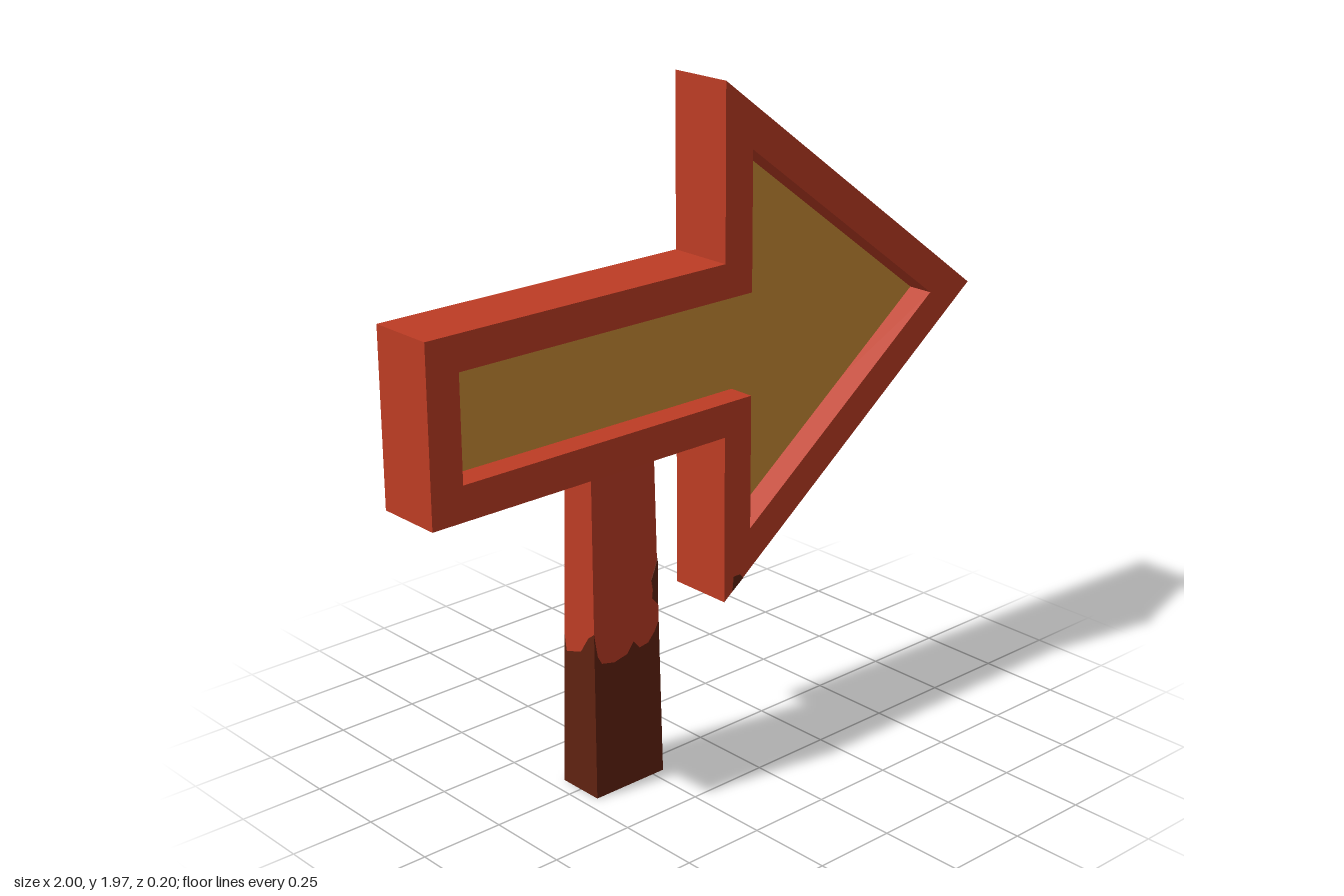
import * as THREE from 'three';

const red = new THREE.MeshStandardMaterial({ name: 'red paint', color: 0xbd3c24 });
const yellow = new THREE.MeshStandardMaterial({ name: 'yellow panel', color: 0xca8b35 });
const brown = new THREE.MeshStandardMaterial({ name: 'dark wood', color: 0x602210 });

const POST_X = -0.335;
const POST_TOP = 1.0;

// Arrow outline: tail x, head x, tip x, shaft half height, head half height
function arrowPoints(tail, head, tip, shaft, wide) {
  const y = 1.22;
  return [
    [tail, y - shaft], [head, y - shaft], [head, y - wide], [tip, y],
    [head, y + wide], [head, y + shaft], [tail, y + shaft],
  ].map(([px, py]) => new THREE.Vector2(px, py));
}

function addSlab(group, name, shape, z0, z1, material) {
  const geometry = new THREE.ExtrudeGeometry(shape, { depth: z1 - z0, bevelEnabled: false });
  geometry.translate(0, 0, z0);
  const mesh = new THREE.Mesh(geometry, material);
  mesh.name = name;
  group.add(mesh);
}

// Point on the tapered post; u and w run from -1 to 1 across x and z
function postPoint(u, w, y) {
  return [POST_X + u * (0.123 - 0.0113 * y), y, w * (0.072 - 0.0175 * y)];
}

// Wall around the post between two heights given per perimeter point
function postWall(edge, low, high) {
  const positions = [];
  for (let i = 0; i < edge.length - 1; i++) {
    const [u0, w0] = edge[i];
    const [u1, w1] = edge[i + 1];
    const a = postPoint(u0, w0, low(edge[i]));
    const b = postPoint(u1, w1, low(edge[i + 1]));
    const c = postPoint(u1, w1, high(edge[i + 1]));
    const d = postPoint(u0, w0, high(edge[i]));
    positions.push(...a, ...b, ...c, ...a, ...c, ...d);
  }
  const geometry = new THREE.BufferGeometry();
  geometry.setAttribute('position', new THREE.Float32BufferAttribute(positions, 3));
  geometry.computeVertexNormals();
  return geometry;
}

export function createModel() {
  const group = new THREE.Group();
  group.name = 'arrowSign';

  // Arrow: raised frame, solid core and recessed panel
  const outer = new THREE.Shape(arrowPoints(-1, 0, 1, 0.25, 0.75));
  const innerPoints = arrowPoints(-0.9, 0.1, 0.833, 0.15, 0.55);
  outer.holes.push(new THREE.Path(innerPoints));
  const inner = new THREE.Shape(innerPoints);
  addSlab(group, 'arrowFrame', outer, -0.1, 0.1, red);
  addSlab(group, 'arrowBack', inner, -0.1, 0.014, red);
  addSlab(group, 'arrowPanel', inner, 0.014, 0.02, yellow);

  // Ragged paint line around the post: [u, w, height]
  const paintLine = [
    [-1, 1, 0.5], [-0.9, 1, 0.43], [-0.78, 1, 0.405], [-0.4, 1, 0.395], [0, 1, 0.405],
    [0.2, 1, 0.435], [0.38, 1, 0.41], [0.65, 1, 0.415], [0.85, 1, 0.44], [1, 1, 0.47],
    [1, 0.85, 0.47], [1, 0.7, 0.42], [1, 0.1, 0.42], [1, -0.3, 0.46], [1, -1, 0.475],
    [0.7, -1, 0.43], [0.4, -1, 0.48], [0.15, -1, 0.42], [-0.5, -1, 0.425], [-1, -1, 0.46],
    [-1, -0.85, 0.41], [-1, 0.1, 0.43], [-1, 0.6, 0.48], [-1, 1, 0.5],
  ];
  const line = (p) => p[2];
  const lower = new THREE.Mesh(postWall(paintLine, () => 0, line), brown);
  lower.name = 'postWood';
  const upper = new THREE.Mesh(postWall(paintLine, line, () => POST_TOP), red);
  upper.name = 'postPaint';
  const foot = new THREE.Mesh(new THREE.PlaneGeometry(0.246, 0.144), brown);
  foot.name = 'postFoot';
  foot.rotation.x = Math.PI / 2;
  foot.position.x = POST_X;
  group.add(lower, upper, foot);

  // Worn paint on the post's front edge
  const toVectors = (list) => list.map(([px, py]) => new THREE.Vector2(px, py));
  const worn = new THREE.Shape(toVectors([
    [-0.2195, 0.52], [-0.2195, 0.66], [-0.23, 0.63], [-0.243, 0.6], [-0.238, 0.57], [-0.241, 0.545],
  ]));
  addSlab(group, 'postWornPatch', worn, 0.058, 0.064, brown);

  // Chips at the lower corner of the arrowhead
  const frontChip = new THREE.Shape(toVectors([
    [0.03, 0.495], [0.072, 0.525], [0.06, 0.54], [0.035, 0.54],
  ]));
  const backChip = new THREE.Shape(toVectors([
    [0.002, 0.474], [0.045, 0.505], [0.025, 0.525], [0.002, 0.53],
  ]));
  addSlab(group, 'frontChip', frontChip, 0.098, 0.102, brown);
  addSlab(group, 'backChip', backChip, -0.102, -0.098, brown);

  return group;
}
